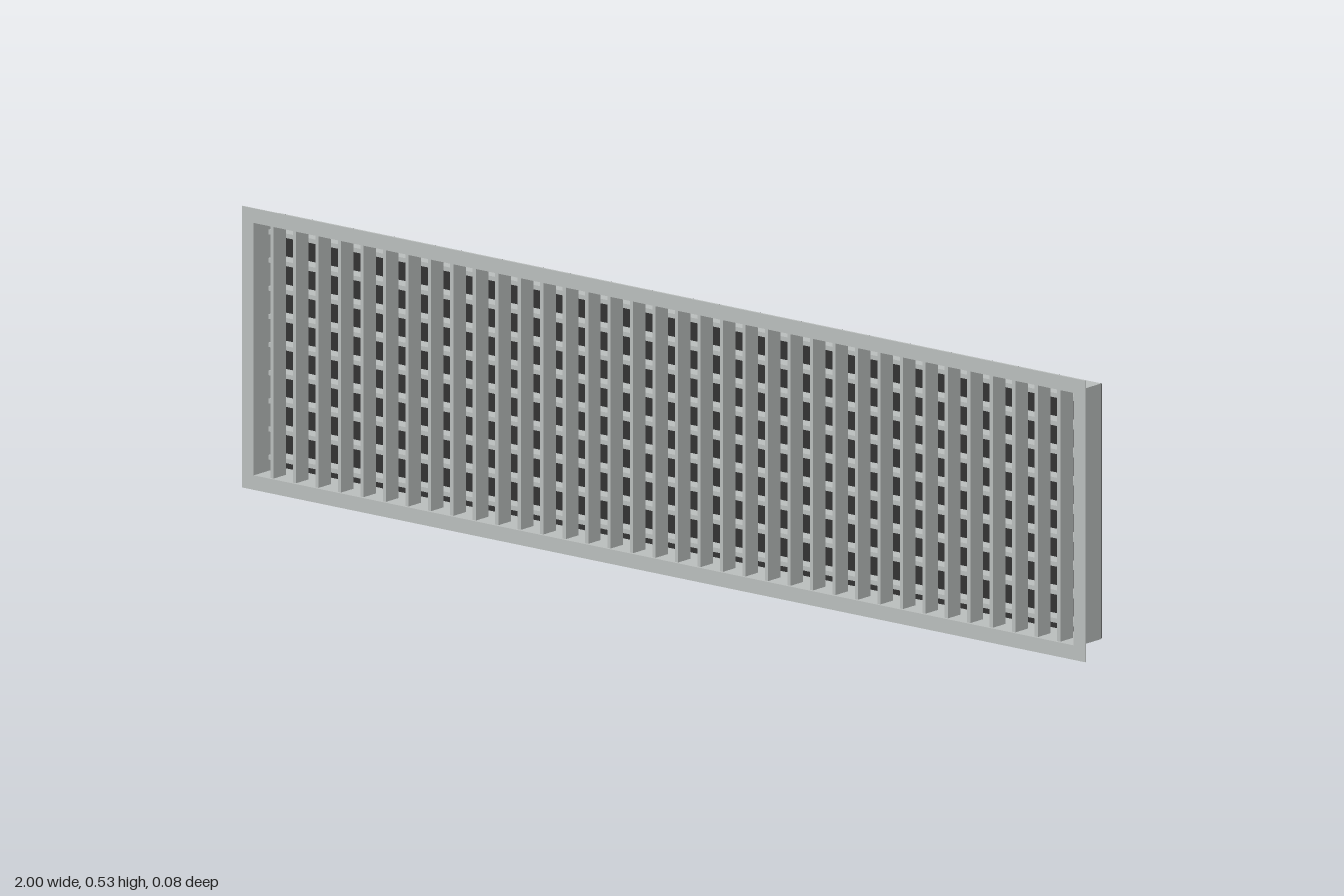
import * as THREE from 'three';

const WIDTH = 2, HEIGHT = 0.533, MID_Y = HEIGHT / 2;
const DUCT_W = 1.95, DUCT_H = 0.484, PITCH = 0.0533;

// Rectangular ring extruded from z0 to z1
function ring(w, h, holeW, holeH, z0, z1) {
  const rect = (Type, a, b) => new Type([
    new THREE.Vector2(-a / 2, -b / 2), new THREE.Vector2(a / 2, -b / 2),
    new THREE.Vector2(a / 2, b / 2), new THREE.Vector2(-a / 2, b / 2),
  ]);
  const shape = rect(THREE.Shape, w, h);
  shape.holes.push(rect(THREE.Path, holeW, holeH));
  return new THREE.ExtrudeGeometry(shape, { depth: z1 - z0, bevelEnabled: false }).translate(0, MID_Y, z0);
}

export function createModel() {
  const model = new THREE.Group();
  model.name = 'ventilationGrille';
  const metal = new THREE.MeshStandardMaterial({ color: 0xbcc0bf });
  metal.name = 'grey metal';
  const dark = new THREE.MeshStandardMaterial({ color: 0x333333 });
  dark.name = 'dark backing';

  const add = (parent, name, geometry, material, x = 0, y = 0, z = 0) => {
    const mesh = new THREE.Mesh(geometry, material);
    mesh.name = name;
    mesh.position.set(x, y, z);
    parent.add(mesh);
  };

  // Thin front flange and the duct collar behind it
  add(model, 'flange', ring(WIDTH, HEIGHT, DUCT_W - 0.006, DUCT_H - 0.006, 0.0375, 0.04), metal);
  add(model, 'collar', ring(DUCT_W, DUCT_H, DUCT_W - 0.006, DUCT_H - 0.006, -0.037, 0.0375), metal);

  // Dark panel closing the back
  add(model, 'backPanel', new THREE.BoxGeometry(DUCT_W - 0.002, DUCT_H - 0.002, 0.003), dark, 0, MID_Y, -0.0385);

  // Upright blades in front
  const blades = new THREE.Group();
  blades.name = 'uprightBlades';
  const bladeGeometry = new THREE.BoxGeometry(0.0075, DUCT_H - 0.006, 0.036);
  for (let i = 0; i < 36; i++) {
    add(blades, 'uprightBlade', bladeGeometry, metal, (i - 17.5) * PITCH, MID_Y, 0.017);
  }
  model.add(blades);

  // Level blades behind them
  const bars = new THREE.Group();
  bars.name = 'levelBlades';
  const barGeometry = new THREE.BoxGeometry(DUCT_W - 0.006, 0.0085, 0.03);
  for (let i = 0; i < 9; i++) {
    add(bars, 'levelBlade', barGeometry, metal, 0, MID_Y + (i - 4) * PITCH, -0.017);
  }
  model.add(bars);

  return model;
}
